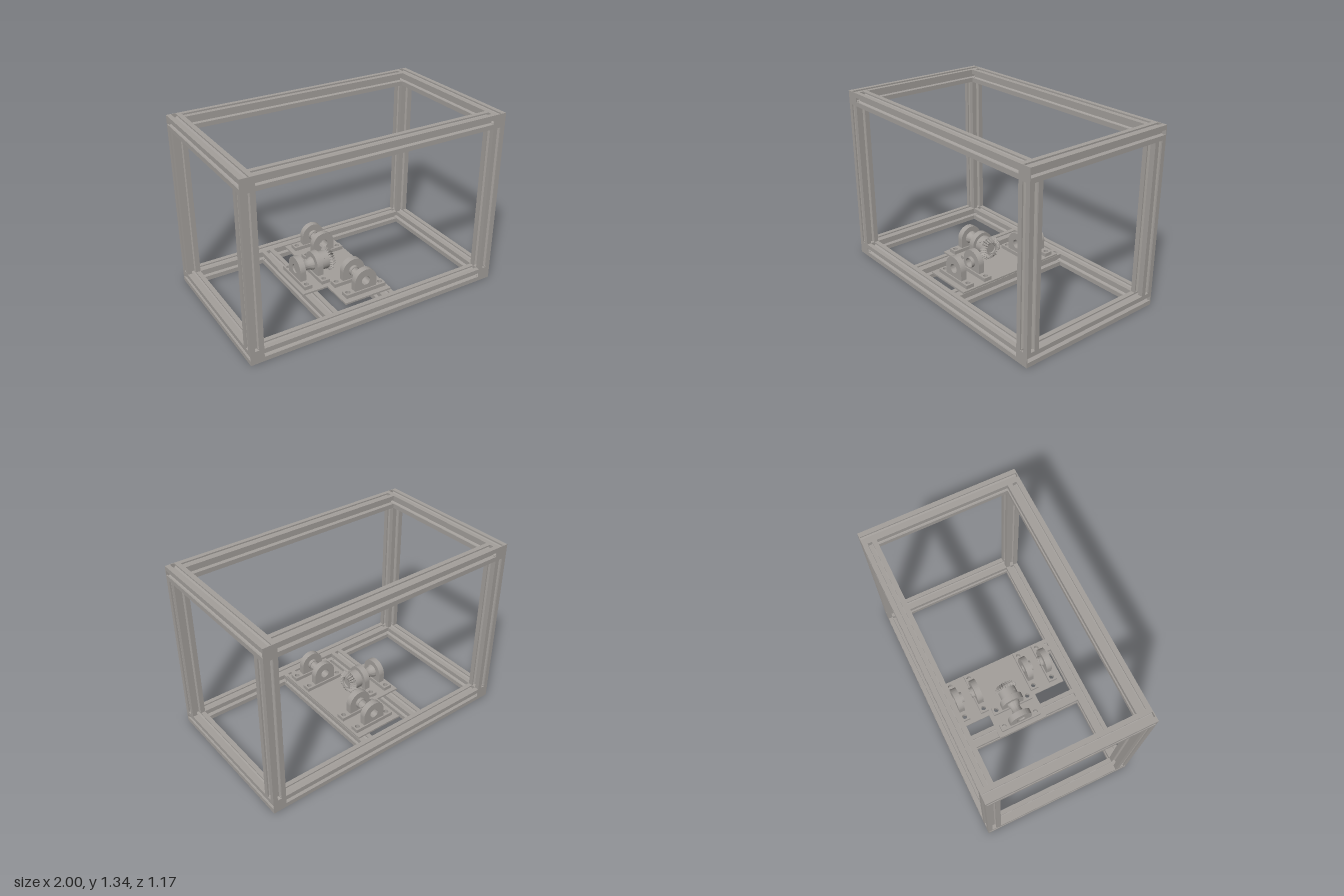
import * as THREE from 'three';
import { toCreasedNormals } from 'three/addons/utils/BufferGeometryUtils.js';

const metal = new THREE.MeshStandardMaterial({ color: 0xa39f9b });
metal.name = 'warm grey metal';

const W = 1, H = 1.335, D = 0.585, B = 0.1; // half width, height, half depth, bar size
const PLATE_TOP = 0.113, AXIS_Y = 0.207;

function mesh(name, geometry, parent) {
  const m = new THREE.Mesh(geometry, metal);
  m.name = name;
  parent.add(m);
  return m;
}

function extrude(shape, depth) {
  const g = new THREE.ExtrudeGeometry(shape, { depth, bevelEnabled: false, curveSegments: 24 });
  return toCreasedNormals(g, 0.6);
}

function addHole(shape, x, y, r) {
  const p = new THREE.Path();
  p.absarc(x, y, r, 0, Math.PI * 2, true);
  shape.holes.push(p);
}

// Square bar section with a T-slot in each side
function slotShape() {
  const h = B / 2;
  const side = [[-h, -h], [-0.016, -h], [-0.016, -0.04], [-0.027, -0.04], [-0.027, -0.034], [-0.013, -0.02],
    [0.013, -0.02], [0.027, -0.034], [0.027, -0.04], [0.016, -0.04], [0.016, -h]];
  const pts = [];
  for (let k = 0; k < 4; k++) {
    const c = Math.round(Math.cos(k * Math.PI / 2)), s = Math.round(Math.sin(k * Math.PI / 2));
    for (const [x, y] of side) pts.push(new THREE.Vector2(x * c - y * s, x * s + y * c));
  }
  return new THREE.Shape(pts);
}

// Slotted bar centred at a position, running along one axis
function bar(name, axis, length, x, y, z, parent, capped = false) {
  const g = new THREE.Group();
  g.name = name;
  const body = new THREE.ExtrudeGeometry(slotShape(), { depth: length, bevelEnabled: false });
  body.translate(0, 0, -length / 2);
  mesh('slottedBar', body, g);
  if (capped) {
    for (const s of [-1, 1]) {
      mesh('endCap', new THREE.BoxGeometry(B, B, 0.006), g).position.z = s * (length / 2 - 0.003);
    }
  }
  if (axis === 'x') g.rotation.y = Math.PI / 2;
  if (axis === 'y') g.rotation.x = Math.PI / 2;
  g.position.set(x, y, z);
  parent.add(g);
}

// Bearing block with its bore along z and its collar on +z
function bearing(name, x, z, turn, parent) {
  const g = new THREE.Group();
  g.name = name;
  const foot = new THREE.Shape();
  foot.moveTo(-0.165, -0.033);
  foot.lineTo(0.165, -0.033);
  foot.lineTo(0.165, 0.033);
  foot.lineTo(-0.165, 0.033);
  for (const s of [-1, 1]) addHole(foot, s * 0.135, 0, 0.018);
  mesh('bearingFoot', extrude(foot, 0.028).rotateX(-Math.PI / 2), g);

  const cy = AXIS_Y - PLATE_TOP;
  const arch = new THREE.Shape();
  arch.moveTo(-0.09, 0.028);
  arch.lineTo(0.09, 0.028);
  arch.lineTo(0.09, cy);
  arch.absarc(0, cy, 0.09, 0, Math.PI, false);
  addHole(arch, 0, cy, 0.035);
  mesh('bearingArch', extrude(arch, 0.046).translate(0, 0, -0.023), g);

  const ring = new THREE.Shape();
  ring.absarc(0, cy, 0.041, 0, Math.PI * 2, false);
  addHole(ring, 0, cy, 0.035);
  mesh('bearingCollar', extrude(ring, 0.024).translate(0, 0, 0.023), g);

  g.position.set(x, PLATE_TOP, z);
  g.rotation.y = turn;
  parent.add(g);
}

// Toothed cone lofted through sections of [x, tip radius, root radius]
function bevelGear(teeth, sections) {
  const pos = [], idx = [], n = teeth * 4;
  for (const [x, tip, root] of sections) {
    for (let i = 0; i < n; i++) {
      const a = ((i + [0, 0.35, 0, -0.35][i % 4]) / n) * Math.PI * 2;
      const r = i % 4 === 1 || i % 4 === 2 ? tip : root;
      pos.push(x, Math.cos(a) * r, Math.sin(a) * r);
    }
  }
  for (let s = 0; s < sections.length - 1; s++) {
    for (let i = 0; i < n; i++) {
      const a = s * n + i, b = s * n + (i + 1) % n;
      idx.push(a, b, a + n, b, b + n, a + n);
    }
  }
  const g = new THREE.BufferGeometry();
  g.setAttribute('position', new THREE.Float32BufferAttribute(pos, 3));
  g.setIndex(idx);
  return toCreasedNormals(g, 0.3);
}

// Turned part along x from [x, radius] points
function turned(points) {
  const g = new THREE.LatheGeometry(points.map(([x, r]) => new THREE.Vector2(r, x)), 40);
  return toCreasedNormals(g.rotateZ(-Math.PI / 2), 0.6);
}

export function createModel() {
  const model = new THREE.Group();
  model.name = 'slottedFrameWithBevelDrive';

  // Outer frame
  const frame = new THREE.Group();
  frame.name = 'frame';
  model.add(frame);
  const h = B / 2;
  for (const sx of [-1, 1]) {
    for (const y of [h, H - h]) bar('sideRail', 'z', D * 2, sx * (W - h), y, 0, frame, true);
    for (const sz of [-1, 1]) bar('cornerPost', 'y', H - 2 * B, sx * (W - h), H / 2, sz * (D - h), frame);
  }
  for (const sz of [-1, 1]) {
    for (const y of [h, H - h]) bar('longRail', 'x', 2 * (W - B), 0, y, sz * (D - h), frame);
  }
  for (const x of [-0.335, 0.135]) bar('crossRail', 'z', 2 * (D - B), x, h, 0, frame);

  // T-shaped mounting plate, drawn in x and -z
  const plate = new THREE.Shape([[-0.4, -0.2], [-0.2, -0.2], [-0.2, -0.452], [0.182, -0.452],
    [0.182, 0.452], [-0.2, 0.452], [-0.2, 0.2], [-0.4, 0.2]].map(([x, y]) => new THREE.Vector2(x, y)));
  const rowZ = [-0.377, -0.216, 0.216, 0.377], driveX = [-0.335, -0.192];
  for (const s of [-1, 1]) {
    for (const z of rowZ) addHole(plate, s * 0.135, z, 0.018);
    for (const x of driveX) addHole(plate, x, s * 0.135, 0.018);
  }
  mesh('mountingPlate', extrude(plate, PLATE_TOP - B).rotateX(-Math.PI / 2), model).position.y = B;

  // Bearing blocks, in pairs with facing collars
  rowZ.forEach((z, i) => bearing('wheelBearing', 0, z, i % 2 ? Math.PI : 0, model));
  driveX.forEach((x, i) => bearing('driveBearing', x, 0, i ? -Math.PI / 2 : Math.PI / 2, model));

  // Drive shaft with spool, hub and bevel gear
  const drive = new THREE.Group();
  drive.name = 'driveShaft';
  drive.position.y = AXIS_Y;
  model.add(drive);
  mesh('shaft', turned([[-0.345, 0], [-0.345, 0.035], [-0.07, 0.035], [-0.07, 0]]), drive);
  mesh('spool', turned([[-0.312, 0.05], [-0.3, 0.048], [-0.288, 0.041], [-0.27, 0.037],
    [-0.257, 0.037], [-0.239, 0.041], [-0.227, 0.048], [-0.215, 0.05]]), drive);
  mesh('gearHub', turned([[-0.163, 0], [-0.163, 0.07], [-0.098, 0.07], [-0.098, 0]]), drive);
  mesh('bevelGear', bevelGear(24, [[-0.102, 0, 0], [-0.102, 0.07, 0.068], [-0.083, 0.094, 0.073],
    [-0.053, 0.07, 0.052], [-0.06, 0.044, 0.044], [-0.06, 0.036, 0.036], [-0.07, 0.034, 0.034]]), drive);
  const screw = mesh('setScrew', new THREE.CylinderGeometry(0.008, 0.008, 0.006, 16), drive);
  screw.position.set(-0.132, 0.05, 0.05);
  screw.rotation.x = Math.PI / 4;

  return model;
}
